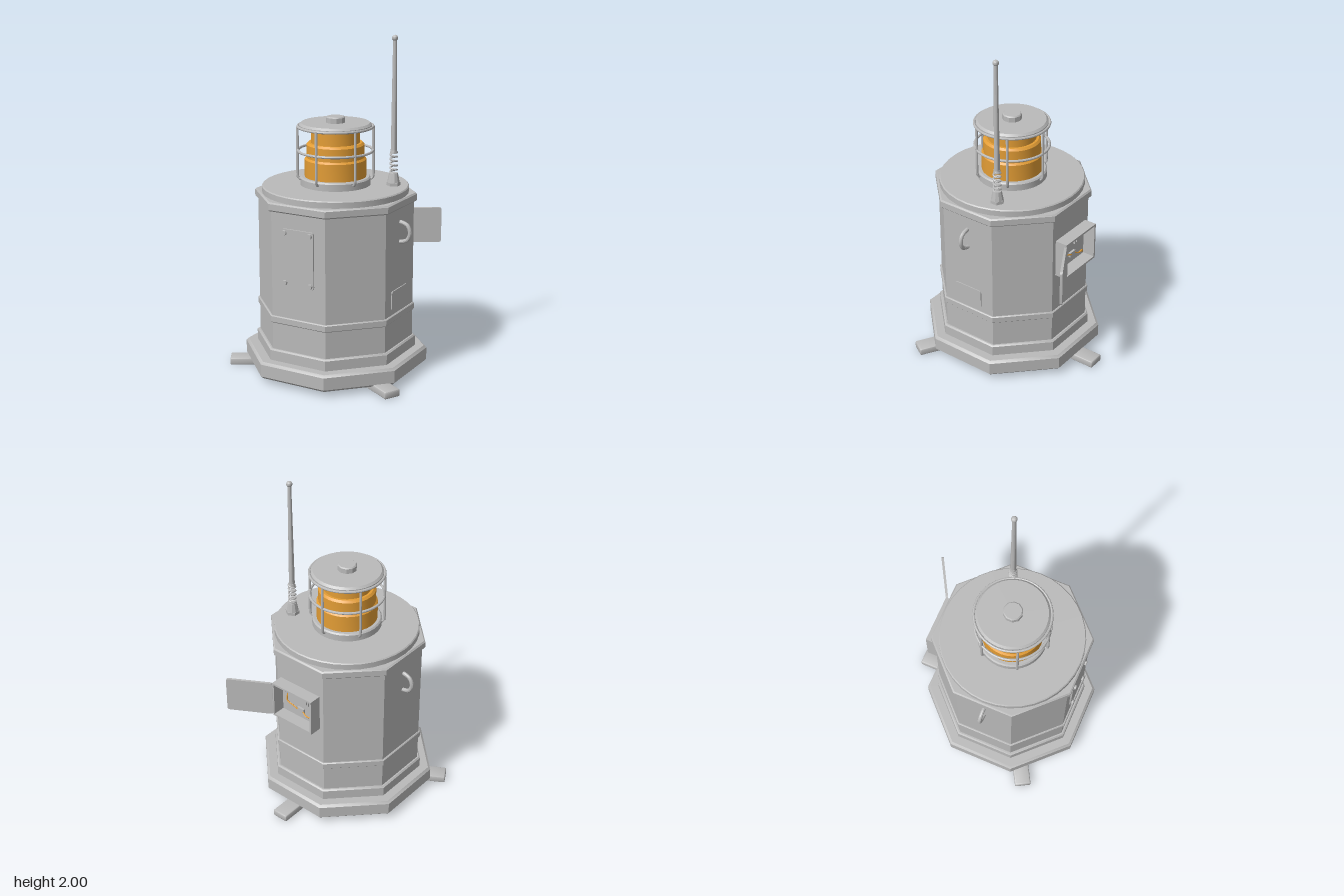
import * as THREE from 'three';
import { toCreasedNormals } from 'three/addons/utils/BufferGeometryUtils.js';
import { RoundedBoxGeometry } from 'three/addons/geometries/RoundedBoxGeometry.js';

const metal = new THREE.MeshStandardMaterial({ color: 0xbababa });
metal.name = 'greyMetal';
const amber = new THREE.MeshStandardMaterial({ color: 0xe39d35 });
amber.name = 'amberLens';

export function createModel() {
  const root = new THREE.Group();
  root.name = 'beaconStation';
  const core = new THREE.Group(); // everything is arranged around the octagon's axis
  core.name = 'beacon';
  core.position.z = 0.065;
  root.add(core);

  function add(name, geo, x = 0, y = 0, z = 0, mat = metal, parent = core) {
    const mesh = new THREE.Mesh(toCreasedNormals(geo, 0.6), mat);
    mesh.name = name;
    mesh.position.set(x, y, z);
    parent.add(mesh);
    return mesh;
  }

  // octagonal prism with bevelled rims, flats facing the four axes
  function octagon(name, apothem, y0, y1, bevel) {
    const k = 1 / Math.cos(Math.PI / 8);
    const pts = [[0, y0], [apothem - bevel, y0], [apothem, y0 + bevel],
      [apothem, y1 - bevel], [apothem - bevel, y1], [0, y1]]
      .map(([r, y]) => new THREE.Vector2(r * k, y));
    return add(name, new THREE.LatheGeometry(pts, 8, Math.PI / 8));
  }

  function round(name, r, y0, y1, bevel, mat = metal, sides = 36) {
    const pts = [[0, y0], [r, y0], [r, y1 - bevel], [r - bevel, y1], [0, y1]]
      .map(([a, b]) => new THREE.Vector2(a, b));
    return add(name, new THREE.LatheGeometry(pts, sides), 0, 0, 0, mat);
  }

  // flat plate with rounded corners, growing towards +z
  function plate(w, h, d, r) {
    const s = new THREE.Shape();
    const a = w / 2, b = h / 2;
    s.moveTo(-a + r, -b).lineTo(a - r, -b).quadraticCurveTo(a, -b, a, -b + r)
      .lineTo(a, b - r).quadraticCurveTo(a, b, a - r, b)
      .lineTo(-a + r, b).quadraticCurveTo(-a, b, -a, b - r)
      .lineTo(-a, -b + r).quadraticCurveTo(-a, -b, -a + r, -b);
    return new THREE.ExtrudeGeometry(s, { depth: d, bevelEnabled: false, curveSegments: 4 });
  }

  const tube = (points, r, n = 16, sides = 8) =>
    new THREE.TubeGeometry(new THREE.CatmullRomCurve3(points.map(p => new THREE.Vector3(...p))), n, r, sides);

  // octagonal housing
  octagon('base', 0.51, 0.03, 0.132, 0.014);
  octagon('lowerCollar', 0.445, 0.12, 0.2, 0.008);
  octagon('body', 0.428, 0.18, 1.05, 0.004);
  octagon('bandRing', 0.438, 0.362, 0.405, 0.005);
  octagon('upperCollar', 0.445, 1.03, 1.082, 0.008);
  round('roofDisc', 0.433, 1.07, 1.122, 0.006);

  // three feet
  for (const a of [Math.PI, Math.PI / 3, -Math.PI / 3]) {
    const foot = add('foot', new RoundedBoxGeometry(0.102, 0.045, 0.24, 2, 0.009),
      Math.sin(a) * 0.52, 0.0225, Math.cos(a) * 0.52);
    foot.rotation.y = a;
  }

  // side carrying handles
  for (const s of [1, -1]) {
    const handle = add('handle', tube([[-0.01, 0.058, 0], [0.01, 0.058, 0], [0.05, 0.042, 0], [0.066, 0, 0],
      [0.05, -0.042, 0], [0.01, -0.058, 0], [-0.01, -0.058, 0]], 0.012, 24, 10), s * 0.426, 0.886, 0);
    if (s < 0) handle.rotation.y = Math.PI;
  }

  // front access panel with corner bolts
  add('frontPanel', plate(0.21, 0.34, 0.012, 0.018), 0, 0.77, 0.426);
  for (const x of [-0.083, 0.083]) for (const y of [0.622, 0.918]) {
    add('panelBolt', new THREE.CylinderGeometry(0.014, 0.016, 0.014, 10), x, y, 0.443).rotation.x = Math.PI / 2;
  }

  // small plate on the left side
  add('sidePlate', plate(0.195, 0.116, 0.008, 0.014), 0.426, 0.492, 0.005).rotation.y = Math.PI / 2;

  // open control box on the back
  const box = new THREE.Group();
  box.name = 'controlBox';
  box.position.set(0, 0.768, -0.425);
  core.add(box);
  const frame = new THREE.Shape();
  frame.moveTo(-0.15, -0.117).lineTo(0.15, -0.117).lineTo(0.15, 0.117).lineTo(-0.15, 0.117).closePath();
  const opening = new THREE.Path();
  opening.moveTo(-0.138, -0.105).lineTo(-0.138, 0.105).lineTo(0.138, 0.105).lineTo(0.138, -0.105).closePath();
  frame.holes.push(opening);
  add('boxFrame', new THREE.ExtrudeGeometry(frame, { depth: 0.08, bevelEnabled: false }), 0, 0, -0.08, metal, box);

  // circuit parts and wiring
  add('terminalBlock', new THREE.BoxGeometry(0.09, 0.04, 0.014), 0.07, 0.058, -0.01, metal, box);
  for (let i = 0; i < 5; i++) {
    add('terminal', new THREE.BoxGeometry(0.01, 0.028, 0.01), 0.038 + i * 0.016, 0.058, -0.02, metal, box);
  }
  add('relay', new THREE.BoxGeometry(0.055, 0.055, 0.02), -0.05, 0.045, -0.012, metal, box);
  add('relayCap', new THREE.BoxGeometry(0.035, 0.035, 0.01), -0.05, 0.045, -0.024, metal, box);
  add('connector', new THREE.BoxGeometry(0.05, 0.03, 0.014), -0.01, -0.045, -0.01, metal, box);
  add('wire', tube([[0.09, 0.036, -0.014], [0.085, -0.01, -0.022], [0.04, -0.025, -0.022], [0.01, -0.04, -0.018]],
    0.004, 20, 6), 0, 0, 0, amber, box);
  add('wire', tube([[-0.03, -0.045, -0.016], [-0.06, -0.06, -0.022], [-0.1, -0.06, -0.02], [-0.115, -0.085, -0.01]],
    0.004, 20, 6), 0, 0, 0, amber, box);

  // door swung open from the box's edge
  const door = new THREE.Group();
  door.name = 'boxDoor';
  door.position.set(0.152, 0.768, -0.5);
  door.rotation.y = Math.PI / 6;
  core.add(door);
  add('doorPanel', plate(0.28, 0.222, 0.015, 0.016), 0.14, 0, -0.0075, metal, door);
  add('hinge', new THREE.CylinderGeometry(0.008, 0.008, 0.2, 10), 0, 0, 0, metal, door);

  // lamp
  round('lampBase', 0.207, 1.11, 1.17, 0.008);
  round('lowerLens', 0.181, 1.16, 1.285, 0.012, amber);
  round('middleLens', 0.17, 1.28, 1.372, 0.012, amber);
  round('upperLens', 0.144, 1.365, 1.458, 0.008, amber);
  round('lampCap', 0.213, 1.458, 1.488, 0.012);
  round('capBolt', 0.057, 1.48, 1.524, 0.006, metal, 10);

  // protective cage
  for (const y of [1.324, 1.466]) {
    add('cageRing', new THREE.TorusGeometry(0.22, 0.008, 8, 48), 0, y, 0).rotation.x = Math.PI / 2;
  }
  for (let i = 0; i < 6; i++) {
    const bar = add('cageBar', tube([[0, 1.152, 0.195], [0, 1.154, 0.217], [0, 1.175, 0.222],
      [0, 1.3, 0.222], [0, 1.465, 0.222]], 0.008, 20));
    bar.rotation.y = i * Math.PI / 3;
  }

  // spring-mounted antenna
  const antenna = new THREE.Group();
  antenna.name = 'antenna';
  antenna.position.set(0.315, 1.12, -0.132);
  core.add(antenna);
  add('antennaNut', new THREE.CylinderGeometry(0.042, 0.042, 0.022, 6), 0, 0.01, 0, metal, antenna);
  add('antennaSocket', new THREE.CylinderGeometry(0.026, 0.037, 0.056, 10), 0, 0.048, 0, metal, antenna);
  const coil = [];
  for (let i = 0; i <= 60; i++) {
    const a = i / 60 * Math.PI * 10;
    coil.push([Math.cos(a) * 0.02, 0.07 + i / 60 * 0.13, Math.sin(a) * 0.02]);
  }
  add('antennaSpring', tube(coil, 0.006, 120, 6), 0, 0, 0, metal, antenna);
  add('antennaFerrule', new THREE.CylinderGeometry(0.019, 0.022, 0.02, 12), 0, 0.202, 0, metal, antenna);
  add('antennaRod', new THREE.CylinderGeometry(0.011, 0.018, 0.66, 12), 0, 0.53, 0, metal, antenna);
  add('antennaTip', new THREE.SphereGeometry(0.018, 14, 10), 0, 0.862, 0, metal, antenna);

  return root;
}
